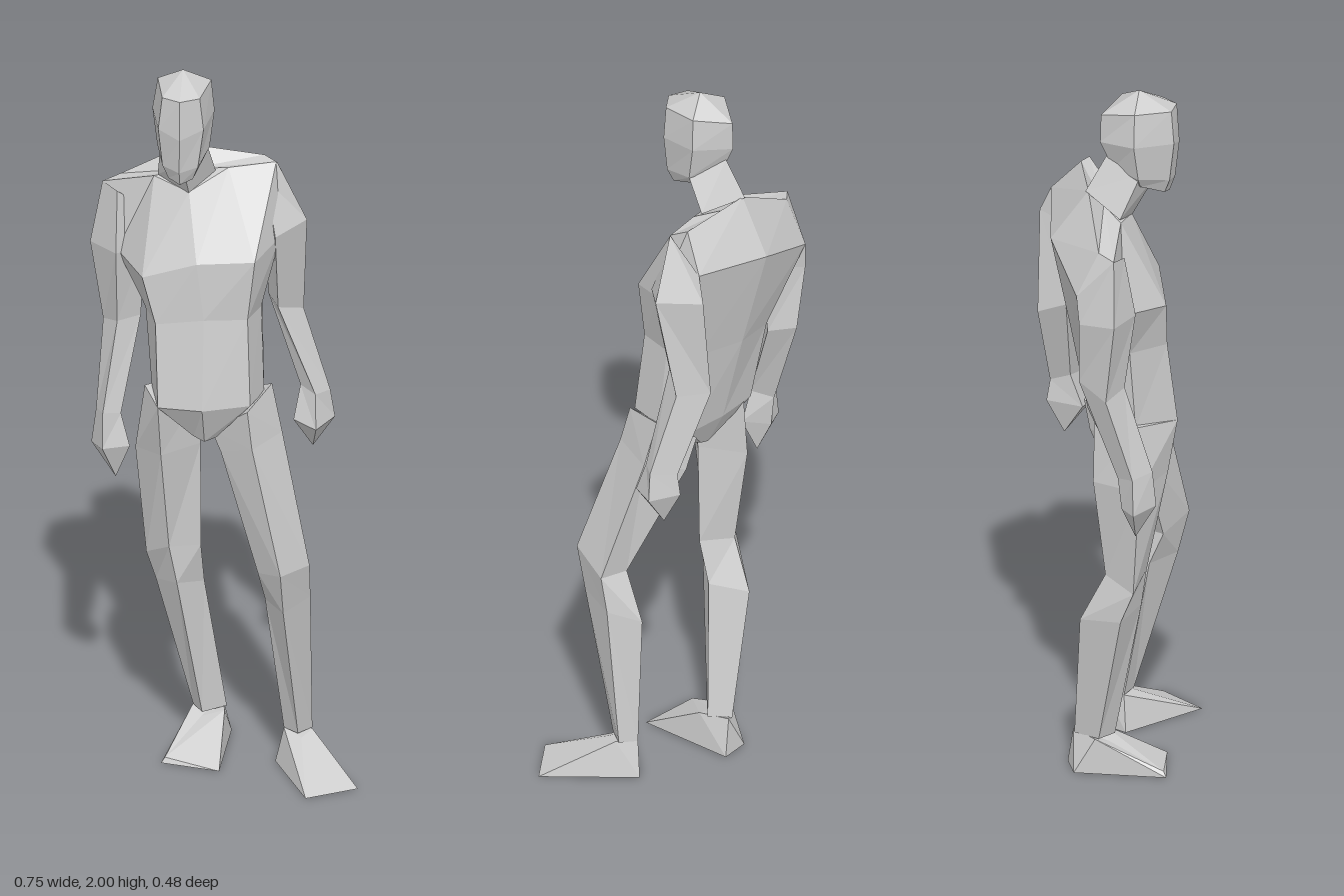
import * as THREE from 'three';

const grey = new THREE.MeshStandardMaterial({ color: 0xcccccc, flatShading: true });
grey.name = 'clay grey';

// Skins a list of equal-sized cross-sections and closes both ends.
function loft(name, rings) {
  const tris = [];
  const n = rings[0].length;
  const tri = (a, b, c) => tris.push([a, b, c].map(p => new THREE.Vector3(...p)));
  for (let r = 0; r + 1 < rings.length; r++) {
    for (let i = 0; i < n; i++) {
      const j = (i + 1) % n;
      tri(rings[r][i], rings[r][j], rings[r + 1][j]);
      tri(rings[r][i], rings[r + 1][j], rings[r + 1][i]);
    }
  }
  const cap = (ring, flip) => {
    const c = [0, 1, 2].map(k => ring.reduce((s, p) => s + p[k], 0) / n);
    ring.forEach((p, i) => {
      const q = ring[(i + 1) % n];
      flip ? tri(c, q, p) : tri(c, p, q);
    });
  };
  cap(rings[0], true);
  cap(rings[rings.length - 1], false);
  // Turn every face outward using the enclosed volume's sign
  const volume = tris.reduce((s, [a, b, c]) => s + a.dot(b.clone().cross(c)), 0);
  const pts = tris.flatMap(([a, b, c]) => (volume < 0 ? [a, c, b] : [a, b, c]));
  const geometry = new THREE.BufferGeometry().setFromPoints(pts);
  geometry.computeVertexNormals();
  const mesh = new THREE.Mesh(geometry, grey);
  mesh.name = name;
  return mesh;
}

// Cross-section shrunk to a point, for fingertips
const tip = p => [p, p, p, p];

export function createModel() {
  const man = new THREE.Group();
  man.name = 'standingMan';

  // Torso: crotch, waist, ribs, chest, shoulders
  man.add(loft('torso', [
    [[-.08, .95, .04], [-.05, .94, .05], [-.02, .95, .04], [0, .95, -.02],
      [-.02, .96, -.08], [-.05, .95, -.08], [-.09, .96, -.08], [-.1, .95, -.02]],
    [[-.17, 1.05, .09], [-.05, 1.05, .1], [.075, 1.06, .07], [.1, 1.06, -.03],
      [.07, 1.05, -.11], [-.05, 1.05, -.13], [-.17, 1.05, -.13], [-.2, 1.05, -.03]],
    [[-.18, 1.28, .06], [-.05, 1.3, .065], [.065, 1.3, .045], [.09, 1.3, -.05],
      [.08, 1.32, -.15], [-.07, 1.3, -.18], [-.2, 1.28, -.16], [-.22, 1.28, -.05]],
    [[-.217, 1.41, .05], [-.07, 1.46, .06], [.085, 1.47, .05], [.14, 1.5, -.06],
      [.133, 1.62, -.193], [-.098, 1.58, -.24], [-.303, 1.5, -.211], [-.3, 1.43, -.08]],
    [[-.2, 1.655, -.07], [-.1, 1.635, -.02], [0, 1.69, -.07], [.125, 1.705, -.09],
      [.09, 1.71, -.12], [-.12, 1.72, -.142], [-.3, 1.62, -.15], [-.344, 1.61, -.118]],
  ]));

  // Neck, leaning forward
  man.add(loft('neck', [
    [[-.1, 1.63, -.02], [-.035, 1.68, -.07], [-.12, 1.72, -.15], [-.19, 1.66, -.07]],
    [[-.11, 1.74, .04], [-.05, 1.78, -.01], [-.115, 1.82, -.09], [-.175, 1.78, -.01]],
  ]));

  // Head: chin, jaw, cheeks, brow, crown
  man.add(loft('head', [
    [[-.112, 1.7, .08], [-.08, 1.71, .06], [-.065, 1.74, -.01], [-.115, 1.76, -.06],
      [-.165, 1.74, -.01], [-.145, 1.71, .06]],
    [[-.112, 1.74, .095], [-.065, 1.75, .07], [-.045, 1.77, -.02], [-.118, 1.78, -.075],
      [-.185, 1.77, -.02], [-.16, 1.75, .07]],
    [[-.11, 1.84, .107], [-.05, 1.86, .07], [-.034, 1.87, -.04], [-.12, 1.86, -.11],
      [-.2, 1.87, -.035], [-.17, 1.86, .08]],
    [[-.11, 1.95, .1], [-.06, 1.95, .07], [-.042, 1.96, -.035], [-.12, 1.94, -.108],
      [-.185, 1.96, -.03], [-.16, 1.95, .075]],
    Array(6).fill([-.114, 2, -.003]),
  ]));

  // Arms: each section runs front, outer, back, inner
  man.add(loft('rightArm', [
    [[-.3, 1.6, -.08], [-.344, 1.61, -.118], [-.303, 1.5, -.211], [-.25, 1.55, -.12]],
    [[-.3, 1.43, -.05], [-.378, 1.43, -.124], [-.31, 1.42, -.205], [-.23, 1.43, -.12]],
    [[-.3, 1.22, -.08], [-.345, 1.2, -.14], [-.28, 1.24, -.2], [-.243, 1.22, -.13]],
    [[-.33, .98, -.01], [-.355, .97, -.07], [-.31, .96, -.1], [-.285, .97, -.04]],
  ]));
  man.add(loft('rightHand', [
    [[-.33, .98, -.01], [-.355, .97, -.07], [-.31, .96, -.1], [-.285, .97, -.04]],
    [[-.33, .88, 0], [-.368, .87, -.07], [-.31, .87, -.09], [-.26, .88, -.03]],
    tip([-.3, .78, -.05]),
  ]));
  man.add(loft('leftArm', [
    [[.1, 1.66, -.07], [.127, 1.705, -.09], [.133, 1.62, -.193], [.07, 1.6, -.12]],
    [[.13, 1.51, -.03], [.206, 1.535, -.103], [.15, 1.55, -.22], [.09, 1.5, -.12]],
    [[.13, 1.28, -.09], [.19, 1.25, -.16], [.13, 1.26, -.23], [.095, 1.29, -.16]],
    [[.23, 1.03, -.09], [.265, 1.03, -.13], [.21, 1.02, -.18], [.185, 1.04, -.13]],
  ]));
  man.add(loft('leftHand', [
    [[.23, 1.03, -.09], [.265, 1.03, -.13], [.21, 1.02, -.18], [.185, 1.04, -.13]],
    [[.235, .94, -.06], [.277, .95, -.135], [.21, .96, -.19], [.17, .95, -.1]],
    tip([.217, .86, -.14]),
  ]));

  // Legs: hip, knee, calf, ankle
  man.add(loft('rightLeg', [
    [[-.17, 1.05, .09], [-.22, 1.06, -.03], [-.14, 1.05, -.13], [-.07, 1.05, -.02]],
    [[-.165, .9, .065], [-.245, .88, -.03], [-.15, .88, -.135], [-.07, .9, -.03]],
    [[-.15, .61, .01], [-.217, .57, -.04], [-.14, .6, -.1], [-.07, .6, -.035]],
    [[-.13, .5, 0], [-.195, .48, -.07], [-.12, .465, -.165], [-.065, .48, -.07]],
    [[-.07, .1, -.06], [-.1, .1, -.11], [-.045, .1, -.165], [-.01, .1, -.11]],
  ]));
  man.add(loft('leftLeg', [
    [[.07, 1.05, .09], [.12, 1.08, -.04], [.05, 1.03, -.12], [-.04, .95, -.01]],
    [[.085, .95, .11], [.15, .95, -.02], [.07, .93, -.1], [-.01, .9, .02]],
    [[.171, .62, .19], [.233, .6, .06], [.16, .6, .03], [.1, .59, .105]],
    [[.175, .5, .16], [.233, .5, .04], [.17, .465, -.03], [.115, .5, .07]],
    [[.2, .1, .045], [.233, .1, 0], [.195, .1, -.035], [.158, .1, .01]],
  ]));

  // Wedge feet
  man.add(loft('rightFoot', [
    [[-.165, 0, .06], [-.085, 0, -.175], [-.005, 0, -.175], [-.005, 0, .095]],
    [[-.155, .015, .055], [-.1, .1, -.12], [-.03, .105, -.165], [-.012, .1, -.08]],
  ]));
  man.add(loft('leftFoot', [
    [[.245, 0, .24], [.135, 0, .01], [.213, 0, -.055], [.375, 0, .16]],
    [[.21, .09, .05], [.158, .1, .01], [.195, .1, -.035], [.235, .1, .01]],
  ]));
  return man;
}
